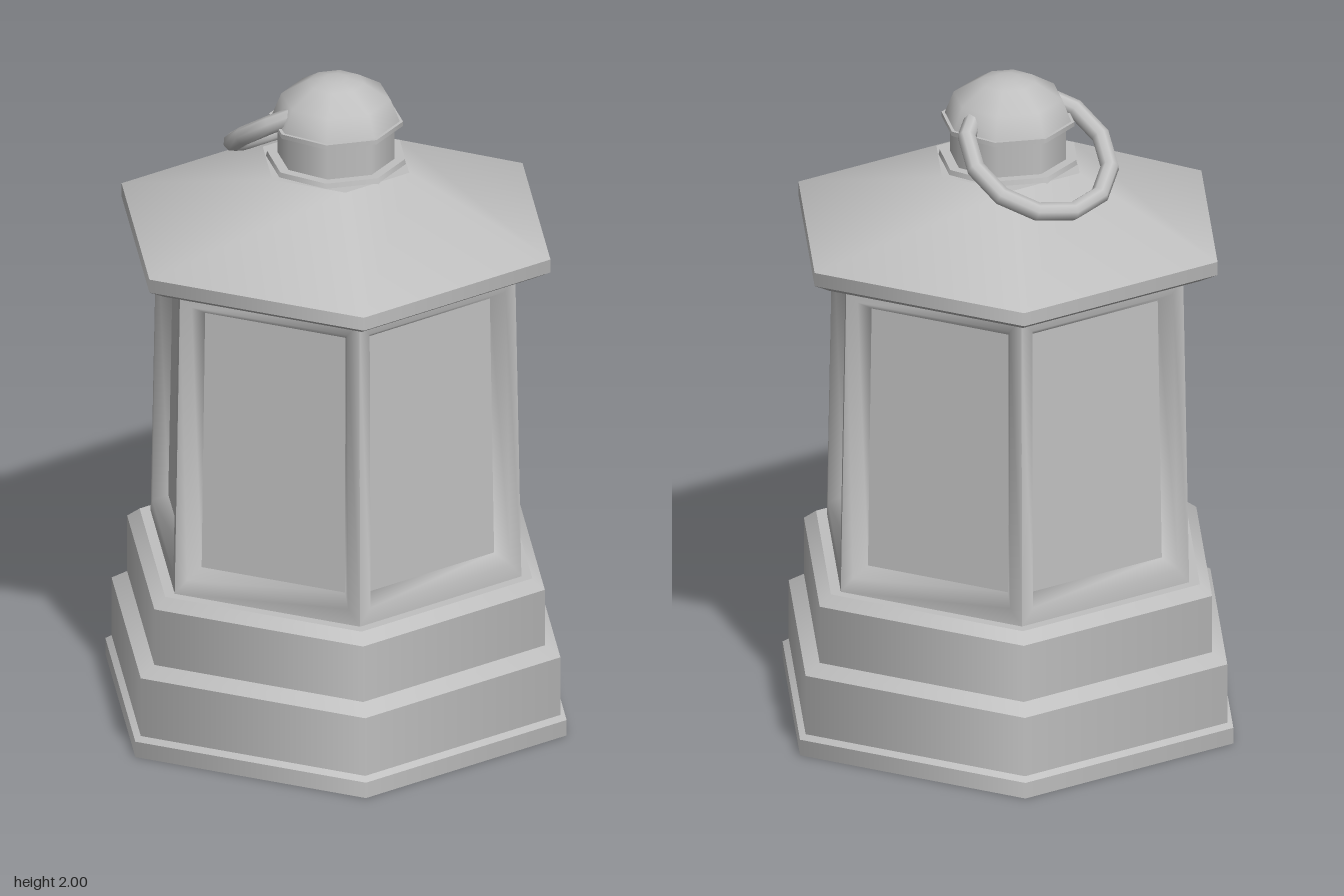
import * as THREE from 'three';
import { mergeGeometries } from 'three/addons/utils/BufferGeometryUtils.js';

const metal = new THREE.MeshStandardMaterial({ color: 0xc0c0c0 });
metal.name = 'grey metal';

// Stack of prisms from [radius, y] pairs: smooth around, sharp between tiers
function tiers(name, profile, sides, turn = 0) {
  const parts = [];
  for (let i = 0; i < profile.length - 1; i++) {
    const [r0, y0] = profile[i];
    const [r1, y1] = profile[i + 1];
    const g = new THREE.CylinderGeometry(r1, r0, y1 - y0, sides, 1, false, turn);
    parts.push(g.translate(0, (y0 + y1) / 2, 0));
  }
  const mesh = new THREE.Mesh(mergeGeometries(parts), metal);
  mesh.name = name;
  return mesh;
}

// Four corners of a rectangle on the slightly leaning wall, set back by depth
function ring(halfBottom, halfTop, y0, y1, depth) {
  const wallZ = y => 0.515 - 0.017 * (y - 0.49) / 0.98 - depth;
  return [
    -halfBottom, y0, wallZ(y0), halfBottom, y0, wallZ(y0),
    halfTop, y1, wallZ(y1), -halfTop, y1, wallZ(y1),
  ];
}

function surface(name, positions, index) {
  const g = new THREE.BufferGeometry();
  g.setAttribute('position', new THREE.Float32BufferAttribute(positions, 3));
  g.setIndex(index);
  g.computeVertexNormals();
  const mesh = new THREE.Mesh(g, metal);
  mesh.name = name;
  return mesh;
}

// One side of the lantern: softly shaded frame around a recessed pane
function createSide() {
  const side = new THREE.Group();
  side.name = 'lanternSide';
  const outer = ring(0.2975, 0.2875, 0.49, 1.47, 0);
  const lip = ring(0.258, 0.25, 0.54, 1.42, 0);
  const inner = ring(0.23, 0.225, 0.57, 1.39, 0.043);
  const index = [];
  for (let r = 0; r < 2; r++) {
    for (let i = 0; i < 4; i++) {
      const a = r * 4 + i, b = r * 4 + (i + 1) % 4;
      index.push(a, b, b + 4, a, b + 4, a + 4);
    }
  }
  side.add(surface('windowFrame', [...outer, ...lip, ...inner], index));
  side.add(surface('windowPane', inner, [0, 1, 2, 0, 2, 3]));
  return side;
}

export function createModel() {
  const lantern = new THREE.Group();
  lantern.name = 'lantern';
  const hex = Math.PI / 6;

  // Stepped base
  lantern.add(tiers('base', [
    [0.74, 0], [0.74, 0.05], [0.72, 0.063], [0.72, 0.25],
    [0.67, 0.28], [0.67, 0.46], [0.63, 0.49],
  ], 6, hex));

  // Six window sides
  for (let i = 0; i < 6; i++) {
    const side = createSide();
    side.rotation.y = i * Math.PI / 3;
    lantern.add(side);
  }

  // Roof with a thin eave
  lantern.add(tiers('roof', [
    [0.635, 1.465], [0.688, 1.493], [0.688, 1.535], [0.235, 1.735],
  ], 6, hex));

  // Neck and cap
  lantern.add(tiers('collar', [[0.21, 1.73], [0.205, 1.75]], 8));
  lantern.add(tiers('neck', [[0.175, 1.75], [0.175, 1.86]], 8));
  lantern.add(tiers('capRim', [[0.2, 1.858], [0.2, 1.872]], 8));
  const dome = [[0.19, 1.872], [0.163, 1.94], [0.085, 1.988], [0.035, 2], [0, 2]];
  const cap = new THREE.Mesh(
    new THREE.LatheGeometry(dome.map(([r, y]) => new THREE.Vector2(r, y)), 8), metal);
  cap.name = 'cap';
  lantern.add(cap);

  // Carrying ring, hanging back with its ends inside the cap
  const loop = new THREE.TorusGeometry(0.222, 0.028, 8, 10, Math.PI * 5 / 3);
  loop.rotateZ(Math.PI * 2 / 3).rotateX(0.98);
  const handle = new THREE.Mesh(loop, metal);
  handle.name = 'handleRing';
  handle.position.set(0, 1.815, -0.16);
  lantern.add(handle);

  return lantern;
}
